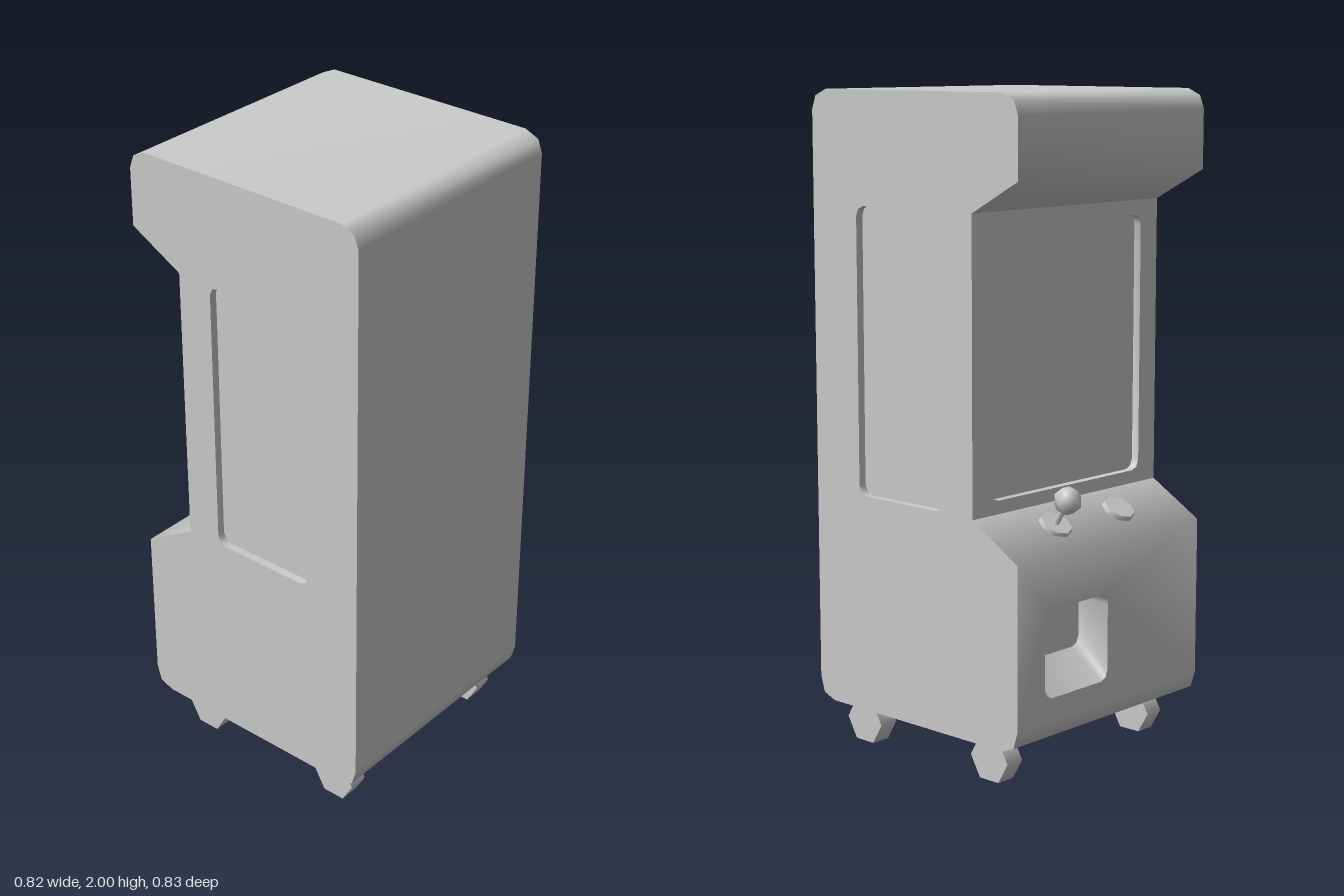
import * as THREE from 'three';
import { mergeGeometries, mergeVertices, toCreasedNormals } from 'three/addons/utils/BufferGeometryUtils.js';

const HALF = 0.41;
const FRONT = -0.415;   // lower front face
const SCREEN = -0.24;   // recessed window face

// Cabinet outline as [z, y], from the window's top, over the roof and back, to the window's foot.
const OUTLINE = [
  [SCREEN, 1.665], [FRONT, 1.76], [FRONT, 1.94], [-0.4, 1.98], [-0.355, 2], [0.355, 2], [0.4, 1.98], [0.415, 1.94],
  [0.415, 0.195], [0.4, 0.145], [0.355, 0.127], [-0.355, 0.127], [-0.4, 0.145], [FRONT, 0.195],
  [FRONT, 0.685], [SCREEN, 0.79],
];

const material = () => new THREE.MeshStandardMaterial({ color: 0xcccccc });

function mesh(name, geometry) {
  const m = new THREE.Mesh(geometry, material());
  m.name = name;
  return m;
}

// Strip of quads between two rows of points.
function band(a, b) {
  const index = [];
  const n = a.length;
  for (let i = 0; i < n - 1; i++) index.push(i, i + 1, n + i + 1, i, n + i + 1, n + i);
  const g = new THREE.BufferGeometry().setFromPoints([...a, ...b]);
  g.setIndex(index);
  return g;
}

// Counter-clockwise rectangle with rounded corners.
function roundRect(x0, y0, x1, y1, r) {
  const pts = [];
  const corners = [[x1 - r, y0 + r, -1], [x1 - r, y1 - r, 0], [x0 + r, y1 - r, 1], [x0 + r, y0 + r, 2]];
  for (const [cx, cy, q] of corners) {
    for (let i = 0; i <= 2; i++) {
      const t = (q + i / 2) * Math.PI / 2;
      pts.push(new THREE.Vector2(cx + r * Math.cos(t), cy + r * Math.sin(t)));
    }
  }
  return pts;
}

function bare(g) {
  g.deleteAttribute('uv');
  g.deleteAttribute('normal');
  return g;
}

// Flat face with an opening, facing +z.
function holedFace(outline, hole) {
  const shape = new THREE.Shape(outline);
  shape.holes.push(new THREE.Path(hole));
  return bare(new THREE.ShapeGeometry(shape));
}

// Walls and bottom of a recess behind an opening.
function recess(hole, inner, depth) {
  const ring = (pts, z) => [...pts, pts[0]].map(p => new THREE.Vector3(p.x, p.y, z));
  const floor = bare(new THREE.ShapeGeometry(new THREE.Shape(inner))).translate(0, 0, -depth);
  return mergeGeometries([band(ring(hole, 0), ring(inner, -depth)), floor]);
}

const rect = (x0, y0, x1, y1) => [[x0, y0], [x1, y0], [x1, y1], [x0, y1]].map(p => new THREE.Vector2(...p));

export function createModel() {
  const model = new THREE.Group();

  // Wrapped skin: hood, roof, back, underside, lower front and control slope
  const row = (pts, x) => pts.map(([z, y]) => new THREE.Vector3(x, y, z));
  const wrap = pts => band(row(pts, -HALF), row(pts, HALF));
  const slot = roundRect(-0.293, 0.265, -0.015, 0.53, 0.03);
  const lowerFront = holedFace(rect(-HALF, 0.195, HALF, 0.685), slot).rotateY(Math.PI).translate(0, 0, FRONT);
  const skin = mergeVertices(mergeGeometries([wrap(OUTLINE.slice(0, 14)), lowerFront, wrap(OUTLINE.slice(14))]));
  skin.computeVertexNormals();
  model.add(mesh('cabinetShell', skin));

  // Prize slot with a ramped floor
  const slotBack = roundRect(-0.293, 0.35, -0.015, 0.53, 0.03);
  const slotGeometry = recess(slot, slotBack, 0.115).rotateY(Math.PI).translate(0, 0, FRONT);
  model.add(mesh('prizeSlot', toCreasedNormals(slotGeometry, 0.85)));

  // Front window
  const pane = roundRect(-0.333, 0.83, 0.333, 1.62, 0.03);
  const front = mergeGeometries([holedFace(rect(-HALF, 0.79, HALF, 1.665), pane), recess(pane, pane, 0.025)]);
  front.rotateY(Math.PI).translate(0, 0, SCREEN);
  model.add(mesh('frontWindow', toCreasedNormals(front, 0.85)));

  // Side panels with windows
  for (const s of [1, -1]) {
    const outline = OUTLINE.map(([z, y]) => new THREE.Vector2(-s * z, y));
    const [z0, z1] = s > 0 ? [-0.23, 0.123] : [-0.123, 0.23];
    const glass = roundRect(z0, 0.795, z1, 1.663, 0.03);
    const side = mergeGeometries([holedFace(outline, glass), recess(glass, glass, 0.025)]);
    side.rotateY(s * Math.PI / 2).translate(s * HALF, 0, 0);
    model.add(mesh(s > 0 ? 'leftSidePanel' : 'rightSidePanel', toCreasedNormals(side, 0.85)));
  }

  // Joystick and button stand square to the control slope
  const tilt = -Math.atan2(0.105, 0.175);
  const control = (name, x) => {
    const g = new THREE.Group();
    g.name = name;
    g.position.set(x, 0.742, -0.32);
    g.rotation.x = tilt;
    model.add(g);
    return g;
  };
  const joystick = control('joystick', 0.145);
  joystick.add(mesh('joystickBase', toCreasedNormals(new THREE.CylinderGeometry(0.05, 0.055, 0.024, 8), 0.85)));
  const stick = mesh('joystickStick', new THREE.CylinderGeometry(0.01, 0.01, 0.09, 6));
  stick.position.y = 0.05;
  const knob = mesh('joystickKnob', new THREE.SphereGeometry(0.043, 6, 4));
  knob.position.y = 0.096;
  joystick.add(stick, knob);
  control('button', -0.14).add(mesh('buttonCap', toCreasedNormals(new THREE.CylinderGeometry(0.05, 0.055, 0.03, 8), 0.85)));

  // Six-sided wheels
  for (const x of [-0.322, 0.322]) {
    for (const z of [-0.25, 0.28]) {
      const wheel = mesh('wheel', new THREE.CylinderGeometry(0.074, 0.074, 0.063, 6).rotateZ(Math.PI / 2));
      wheel.position.set(x, 0.0641, z);
      model.add(wheel);
    }
  }
  return model;
}
